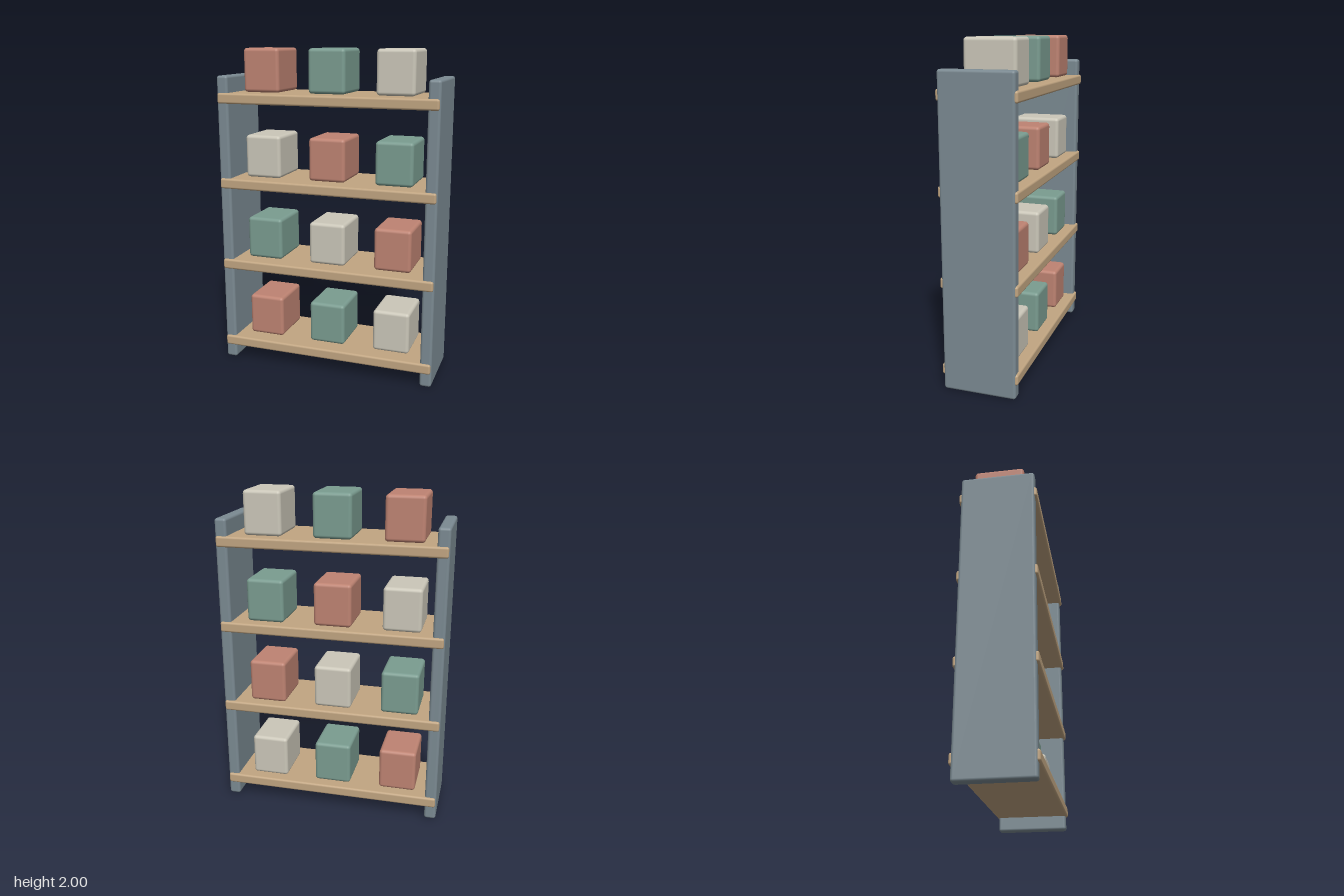
import * as THREE from 'three';
import { RoundedBoxGeometry } from 'three/addons/geometries/RoundedBoxGeometry.js';

function material(name, color) {
  const m = new THREE.MeshStandardMaterial({ color });
  m.name = name;
  return m;
}

export function createModel() {
  const model = new THREE.Group();
  model.name = 'shelfUnit';

  const slate = material('slateGrey', 0x7b8a92);
  const wood = material('paleWood', 0xc1a581);
  const red = material('clayRed', 0xbe8372);
  const green = material('sageGreen', 0x7a9c90);
  const cream = material('cream', 0xcbc7b9);

  // Rounded block centred on x and z, resting at height y
  const block = (name, mat, [w, h, d], radius, x, y, z = 0) => {
    const mesh = new THREE.Mesh(new RoundedBoxGeometry(w, h, d, 3, radius), mat);
    mesh.name = name;
    mesh.position.set(x, y + h / 2, z);
    model.add(mesh);
  };

  // Side panels
  for (const [side, sx] of [['left', 1], ['right', -1]]) {
    block(side + 'SidePanel', slate, [0.072, 1.837, 0.438], 0.016, sx * 0.652, 0);
  }

  // Shelves with three boxes each; colours per level run from -x to +x
  const levels = [
    [red, green, cream],
    [green, cream, red],
    [cream, red, green],
    [red, green, cream],
  ];
  levels.forEach((colours, level) => {
    const y = 0.088 + level * 0.5273;
    block('shelf' + (level + 1), wood, [1.364, 0.064, 0.464], 0.013, 0, y);
    colours.forEach((colour, i) => {
      block(`storageBox${level + 1}_${i + 1}`, colour, [0.231, 0.264, 0.308], 0.021,
        -0.429 + i * 0.419, y + 0.0661, -0.0185);
    });
  });

  return model;
}
